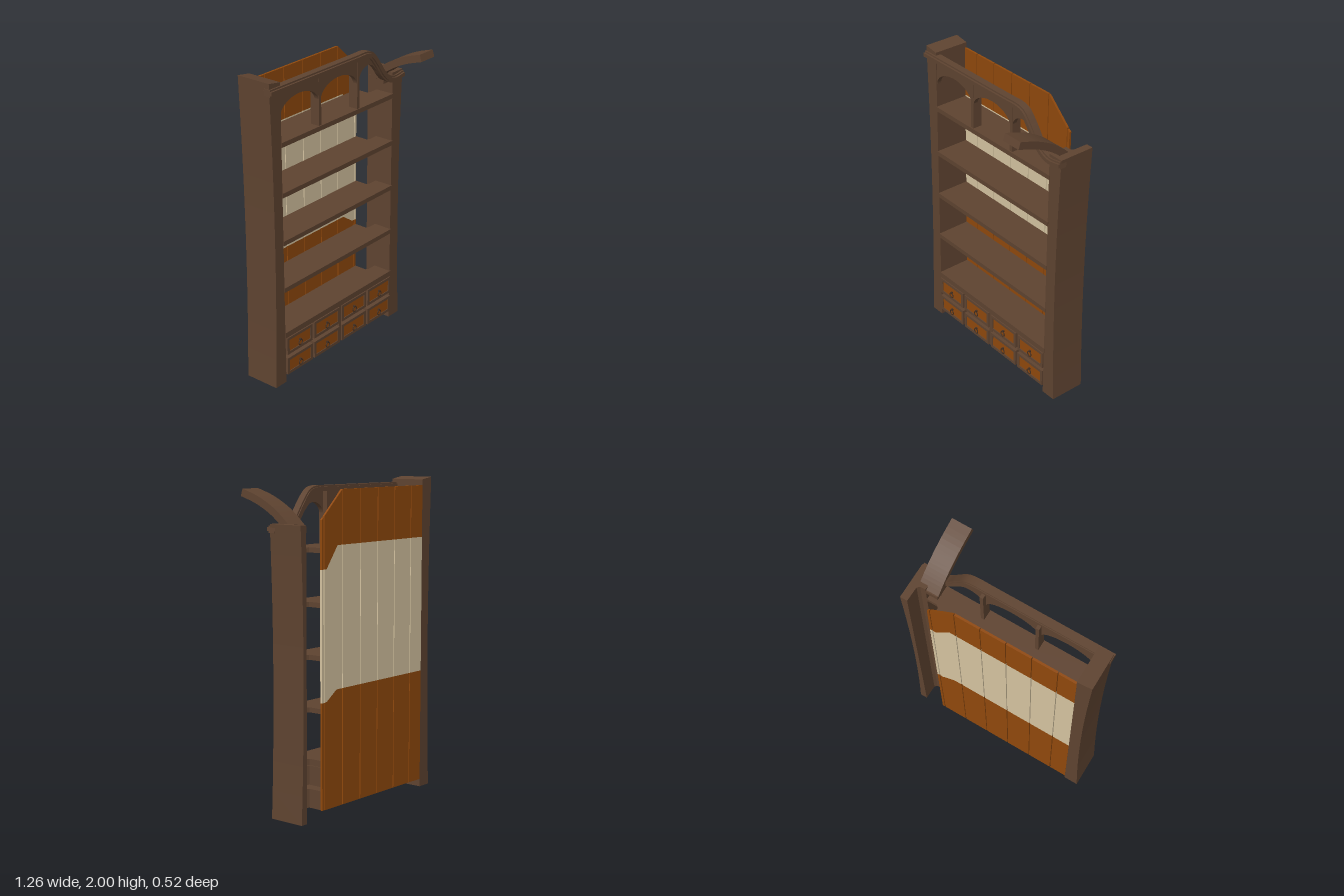
import * as THREE from 'three';

const material = (name, color) => {
  const m = new THREE.MeshStandardMaterial({ color });
  m.name = name;
  return m;
};

export function createModel() {
  const model = new THREE.Group();
  model.name = 'bookcase';
  const brown = material('dark wood', 0x5e4330);
  const orange = material('amber wood', 0x8f480c);
  const cream = material('cream paint', 0xd3c29f);
  const iron = material('dark iron', 0x453022);

  const add = (name, geometry, mat) => {
    const mesh = new THREE.Mesh(geometry, mat);
    mesh.name = name;
    model.add(mesh);
    return mesh;
  };
  const box = (name, x0, x1, y0, y1, z0, z1, mat) => {
    const g = new THREE.BoxGeometry(x1 - x0, y1 - y0, z1 - z0);
    g.translate((x0 + x1) / 2, (y0 + y1) / 2, (z0 + z1) / 2);
    return add(name, g, mat);
  };
  const shapeOf = (pts) => new THREE.Shape(pts.map(([x, y]) => new THREE.Vector2(x, y)));
  // Outline in x and y, with its depth along z
  const upright = (shape, z0, z1) => {
    const g = new THREE.ExtrudeGeometry(shape, { depth: z1 - z0, bevelEnabled: false, curveSegments: 16 });
    return g.translate(0, 0, z0);
  };
  // Outline in x and z, with its height along y
  const plate = (pts, y0, y1, steps = 1) => {
    const shape = shapeOf(pts.map(([x, z]) => [x, -z]));
    const g = new THREE.ExtrudeGeometry(shape, { depth: y1 - y0, steps, bevelEnabled: false });
    return g.rotateX(-Math.PI / 2).translate(0, y0, 0);
  };

  // Side posts with a waisted outer face
  const waist = (g, top) => {
    const p = g.attributes.position;
    for (let i = 0; i < p.count; i++) {
      const x = p.getX(i);
      if (Math.abs(x) > 0.6) {
        const t = (2 * p.getY(i)) / top - 1;
        p.setX(i, Math.sign(x) * (0.604 + 0.021 * t * t));
      }
    }
    g.computeVertexNormals();
    return g;
  };
  const left = waist(plate([[-0.625, -0.257], [-0.53, -0.257], [-0.53, -0.02], [-0.625, -0.02]], 0, 1.985, 10), 1.985);
  const lp = left.attributes.position;
  for (let i = 0; i < lp.count; i++) {
    if (lp.getY(i) > 1.98 && lp.getX(i) < -0.6) lp.setY(i, 2);
  }
  left.computeVertexNormals();
  add('tall post', left, brown);
  add('short post', waist(plate([
    [0.625, -0.257], [0.577, -0.257], [0.575, -0.16], [0.56, -0.145],
    [0.524, -0.145], [0.524, -0.02], [0.625, -0.02],
  ], 0, 1.755, 10), 1.755), brown);

  // Shelves and counter, notched behind the short post
  const shelfOutline = [
    [-0.53, -0.244], [0.44, -0.244], [0.44, -0.157], [0.46, -0.145],
    [0.53, -0.145], [0.53, -0.015], [-0.53, -0.015],
  ];
  for (const y of [0.651, 0.967, 1.281, 1.601]) add('shelf', plate(shelfOutline, y - 0.015, y + 0.015), brown);
  add('counter', plate(shelfOutline, 0.315, 0.353), brown);

  // Back planks, each split into three painted bands
  const line = (pts) => (x) => {
    for (let i = 1; i < pts.length; i++) {
      const [ax, ay] = pts[i - 1], [bx, by] = pts[i];
      if (x <= bx) return ay + ((by - ay) * Math.max(0, x - ax)) / (bx - ax);
    }
    return pts[pts.length - 1][1];
  };
  const levels = [
    () => 0.05,
    line([[0.31, 0.767], [0.4, 0.705], [0.45, 0.7]]),
    line([[0.3, 1.625], [0.4, 1.49], [0.45, 1.49]]),
    line([[0.256, 1.95], [0.45, 1.77]]),
  ];
  const breaks = [0.3, 0.31, 0.4];
  const seams = [-0.534, -0.413, -0.247, -0.08, 0.086, 0.254, 0.423, 0.445];
  for (let i = 1; i < seams.length; i++) {
    const a = seams[i - 1] + 0.003, b = seams[i] - 0.003;
    const xs = [a, ...breaks.filter((x) => x > a && x < b), b];
    for (let k = 0; k < 3; k++) {
      const low = xs.map((x) => [x, levels[k](x)]);
      const high = xs.map((x) => [x, levels[k + 1](x)]).reverse();
      add('back plank', upright(shapeOf([...low, ...high]), -0.258, -0.244), k === 1 ? cream : orange);
    }
  }

  // Drawers with framed fronts and ring pulls
  const cols = [[-0.522, -0.283], [-0.265, -0.012], [0.012, 0.262], [0.28, 0.523]];
  for (const [y0, y1] of [[0.052, 0.168], [0.194, 0.312]]) {
    cols.forEach(([x0, x1], c) => {
      const body = c === 3
        ? [[x0, -0.243], [0.44, -0.243], [0.44, -0.157], [0.46, -0.145], [x1, -0.145], [x1, -0.024], [x0, -0.024]]
        : [[x0, -0.243], [x1, -0.243], [x1, -0.024], [x0, -0.024]];
      add('drawer body', plate(body, y0, y1), brown);
      const frame = shapeOf([[x0, y0], [x1, y0], [x1, y1], [x0, y1]]);
      const m = 0.019;
      frame.holes.push(shapeOf([[x0 + m, y0 + m], [x0 + m, y1 - m], [x1 - m, y1 - m], [x1 - m, y0 + m]]));
      add('drawer frame', upright(frame, -0.024, -0.011), brown);
      box('drawer panel', x0 + m, x1 - m, y0 + m, y1 - m, -0.024, -0.016, orange);
      const cx = (x0 + x1) / 2, cy = (y0 + y1) / 2;
      add('ring pull', new THREE.TorusGeometry(0.017, 0.0035, 6, 18), iron).position.set(cx, cy - 0.018, -0.007);
      box('pull mount', cx - 0.006, cx + 0.006, cy - 0.004, cy + 0.008, -0.017, -0.004, iron);
    });
  }
  box('drawer divider', -0.012, 0.012, 0.052, 0.315, -0.24, -0.02, brown);

  // Moulded top rail sweeping down to the short post
  const railCurve = new THREE.CatmullRomCurve3([
    [-0.628, 1.943], [-0.2, 1.943], [0.15, 1.943], [0.25, 1.943], [0.3, 1.927], [0.36, 1.86],
    [0.42, 1.778], [0.47, 1.735], [0.53, 1.715], [0.625, 1.725],
  ].map(([x, y]) => new THREE.Vector3(x, y, 0)));
  const railPoints = railCurve.getPoints(90);
  const offset = (d) => railPoints.map((p, i) => {
    const t = railCurve.getTangent(i / 90);
    return [p.x - t.y * d, p.y + t.x * d];
  });
  const rail = (name, d0, d1, z0, z1) =>
    add(name, upright(shapeOf([...offset(d0), ...offset(d1).reverse()]), z0, z1), brown);
  rail('top rail', -0.022, 0.022, -0.055, -0.01);
  rail('rail moulding', -0.012, 0.012, -0.06, 0.002);

  // Arched frieze below the rail, with two slim posts
  const frieze = new THREE.Shape();
  frieze.moveTo(-0.53, 1.94);
  frieze.lineTo(-0.53, 1.77);
  frieze.absellipse(-0.36, 1.77, 0.17, 0.103, Math.PI, 0, true);
  frieze.lineTo(-0.172, 1.77);
  frieze.absellipse(0, 1.77, 0.172, 0.103, Math.PI, 0, true);
  frieze.lineTo(0.192, 1.77);
  frieze.absellipse(0.285, 1.79, 0.093, 0.08, Math.PI, Math.PI / 2, true);
  frieze.lineTo(0.32, 1.86);
  frieze.lineTo(0.36, 1.82);
  frieze.lineTo(0.4, 1.77);
  frieze.lineTo(0.42, 1.778);
  frieze.lineTo(0.36, 1.86);
  frieze.lineTo(0.3, 1.927);
  frieze.lineTo(0.25, 1.94);
  add('arched frieze', upright(frieze, -0.055, -0.025), brown);
  for (const x of [-0.181, 0.182]) box('frieze post', x - 0.011, x + 0.011, 1.61, 1.93, -0.085, -0.022, brown);

  // Curved tongue rising forward over the short side
  const spine = new THREE.SplineCurve([[-0.125, 1.715], [-0.06, 1.775], [0.02, 1.833], [0.13, 1.888], [0.25, 1.927]]
    .map(([z, y]) => new THREE.Vector2(z, y)));
  const edge = (d) => spine.getPoints(16).map((p, i) => {
    const t = spine.getTangent(i / 16);
    return [p.x - t.y * d, p.y + t.x * d];
  });
  const tongue = new THREE.ExtrudeGeometry(shapeOf([...edge(-0.023), ...edge(0.023).reverse()]),
    { depth: 0.133, bevelEnabled: false });
  add('curved tongue', tongue.rotateY(-Math.PI / 2).translate(0.576, 0, 0), brown);
  // Ledge carrying the tongue
  box('tongue ledge', 0.445, 0.576, 1.7, 1.735, -0.145, -0.03, brown);

  return model;
}
